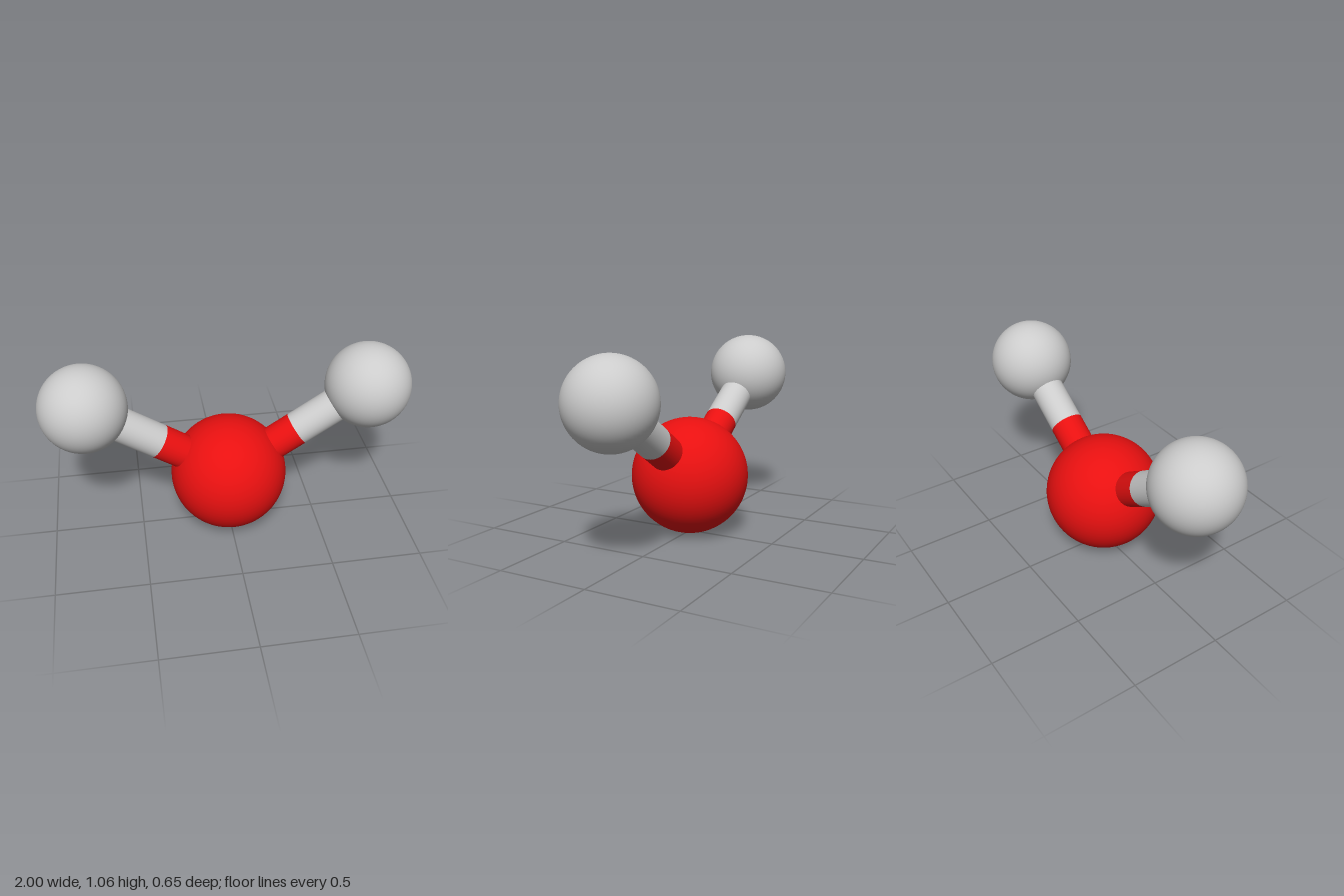
import * as THREE from 'three';

export function createModel() {
  const model = new THREE.Group();
  const grey = new THREE.MeshStandardMaterial({ color: 0xcccccc });
  const red = new THREE.MeshStandardMaterial({ color: 0xe81010 });
  const center = new THREE.Vector3(0, 0.325, 0);
  const up = new THREE.Vector3(0, 1, 0);

  function addBall(name, position, radius, material) {
    const ball = new THREE.Mesh(new THREE.SphereGeometry(radius, 64, 40), material);
    ball.name = name;
    ball.position.copy(position);
    model.add(ball);
  }

  // Round rod between two points
  function addRod(name, from, to, material) {
    const axis = to.clone().sub(from);
    const rod = new THREE.Mesh(new THREE.CylinderGeometry(0.094, 0.094, axis.length(), 48, 1, true), material);
    rod.name = name;
    rod.position.lerpVectors(from, to, 0.5);
    rod.quaternion.setFromUnitVectors(up, axis.normalize());
    model.add(rod);
  }

  // Large central atom
  addBall('centralAtom', center, 0.323, red);

  // Two small atoms, each on a two-coloured bond split halfway
  for (const [side, s] of [['left', 1], ['right', -1]]) {
    const end = new THREE.Vector3(s * 0.766, 0.824, 0);
    const middle = center.clone().lerp(end, 0.5);
    addBall(side + 'OuterAtom', end, 0.234, grey);
    addRod(side + 'BondInner', center, middle, red);
    addRod(side + 'BondOuter', middle, end, grey);
  }

  return model;
}
